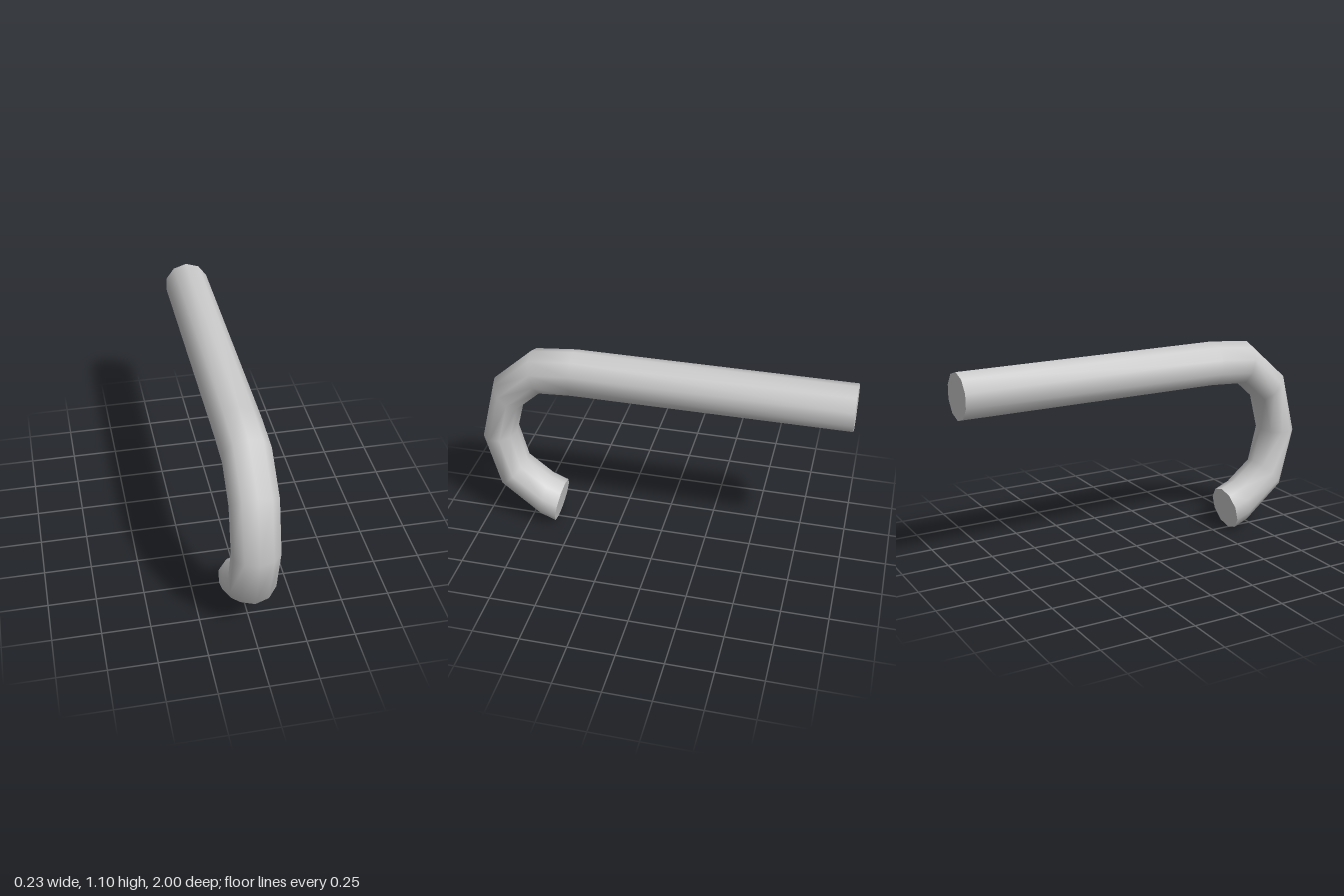
import * as THREE from 'three';

const SIDES = 10, RADIUS = 0.123;

// Cross-sections along the hook: [outer z, outer y, inner z, inner y]
const SECTIONS = [
  [-1, 1.1, -1, 0.855],
  [0.47, 1.1, 0.47, 0.855],
  [0.70, 1.077, 0.645, 0.845],
  [0.917, 0.885, 0.767, 0.735],
  [1.0, 0.55, 0.812, 0.557],
  [0.915, 0.225, 0.767, 0.375],
  [0.69, 0.038, 0.64, 0.275],
  [0.605, 0.003, 0.555, 0.24],
];

// Decagon ring with corners on the outer and inner edge of the bend
function ring([oz, oy, iz, iy]) {
  return Array.from({ length: SIDES }, (_, j) => {
    const a = (j / SIDES) * Math.PI * 2, c = Math.cos(a) / 2;
    return [Math.sin(a) * RADIUS, (oy + iy) / 2 + c * (oy - iy), (oz + iz) / 2 + c * (oz - iz)];
  });
}

function geometry(points, index) {
  const g = new THREE.BufferGeometry();
  g.setAttribute('position', new THREE.Float32BufferAttribute(points.flat(), 3));
  g.setIndex(index);
  g.computeVertexNormals();
  return g;
}

// Smooth skin joining the rings
function skin(rings) {
  const index = [];
  for (let i = 0; i < rings.length - 1; i++) {
    for (let j = 0; j < SIDES; j++) {
      const k = (j + 1) % SIDES;
      const a = i * SIDES + j, b = i * SIDES + k, c = a + SIDES, d = b + SIDES;
      index.push(a, c, b, b, c, d);
    }
  }
  return geometry(rings.flat(), index);
}

// Flat end disc
function cap(points, flip) {
  const index = [];
  for (let j = 1; j < SIDES - 1; j++) index.push(0, flip ? j + 1 : j, flip ? j : j + 1);
  return geometry(points, index);
}

export function createModel() {
  const group = new THREE.Group();
  group.name = 'hook';
  const material = new THREE.MeshStandardMaterial({ color: 0xcccccc });
  const add = (name, geo) => {
    const mesh = new THREE.Mesh(geo, material);
    mesh.name = name;
    group.add(mesh);
  };
  const rings = SECTIONS.map(ring);
  add('bentRod', skin(rings));
  add('shankEnd', cap(rings[0], false));
  add('hookTip', cap(rings[rings.length - 1], true));
  return group;
}
